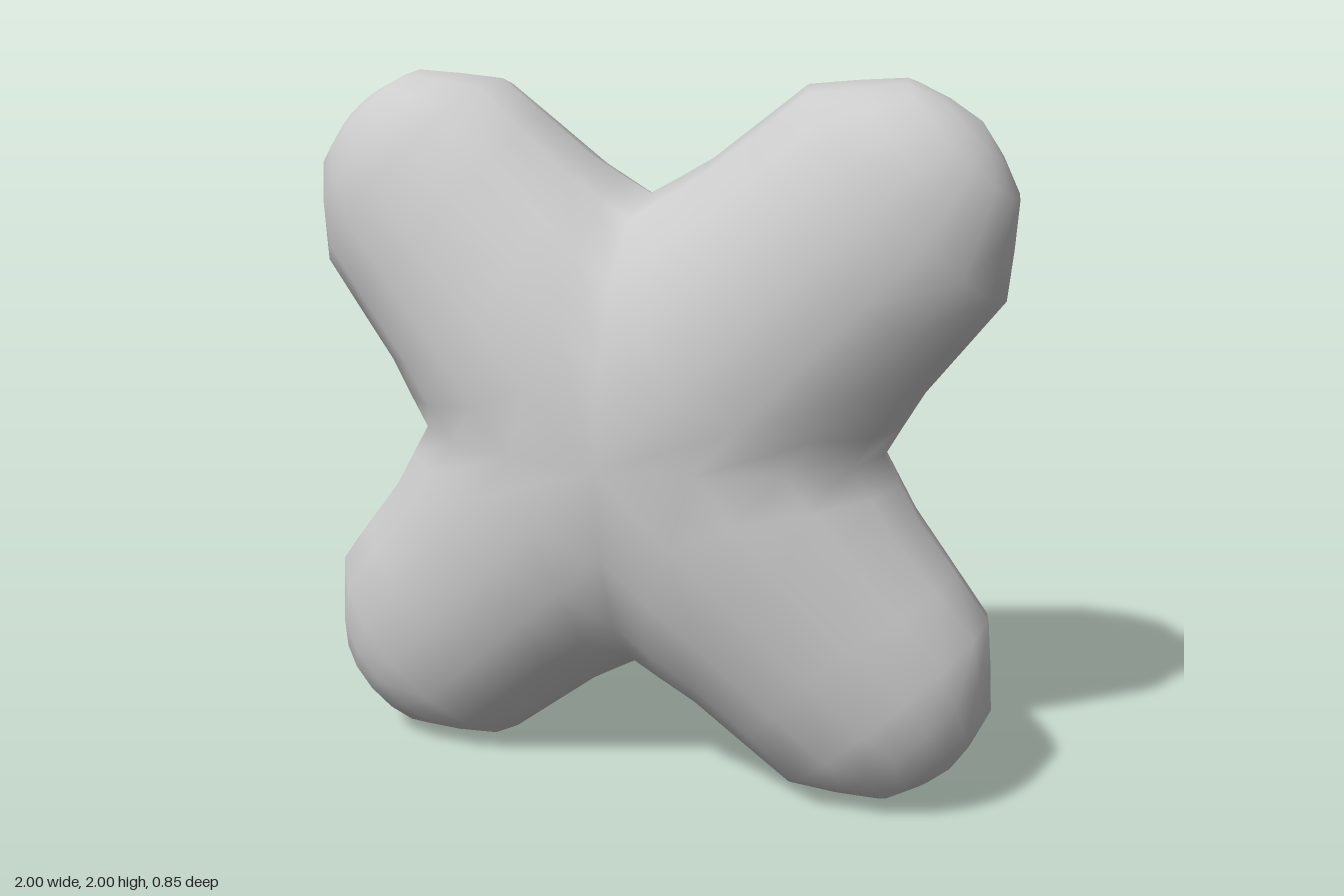
import * as THREE from 'three';
import { mergeVertices } from 'three/addons/utils/BufferGeometryUtils.js';

// Cross-sections of one arm, from the shared centre seam to the rounded tip:
// [distance at the sides, distance at the ridge, half width, half thickness]
const RINGS = [
  [0.48, 0, 0.48, 0.425],
  [0.57, 0.28, 0.454, 0.412],
  [0.68, 0.5, 0.424, 0.38],
  [0.85, 0.79, 0.402, 0.33],
  [1.004, 1.0, 0.382, 0.285],
  [1.11, 1.11, 0.294, 0.24],
  [1.202, 1.2, 0.212, 0.17],
  [1.24, 1.24, 0.11, 0.09],
  [1.266, 1.266, 0, 0],
];
const SIDES = 16;

// Point on an arm that leaves the centre at the given angle
function armPoint(angle, i, j) {
  const [side, ridge, width, thick] = RINGS[i];
  const t = (j / SIDES) * Math.PI * 2;
  const blend = Math.pow(Math.abs(Math.cos(t)), Math.min(2, 1 + i * 0.4));
  const u = ridge + (side - ridge) * blend;
  const v = width * Math.cos(t);
  return [
    u * Math.cos(angle) - v * Math.sin(angle),
    u * Math.sin(angle) + v * Math.cos(angle),
    thick * Math.sin(t),
  ];
}

export function createModel() {
  const group = new THREE.Group();
  group.name = 'softCross';

  // Four equal arms, welded so the shading runs smoothly across the seams
  const positions = [];
  const last = RINGS.length - 2;
  for (let k = 0; k < 4; k++) {
    const angle = Math.PI / 4 + (k * Math.PI) / 2;
    for (let i = 0; i <= last; i++) {
      for (let j = 0; j < SIDES; j++) {
        const a = armPoint(angle, i, j);
        const b = armPoint(angle, i + 1, j);
        const c = armPoint(angle, i + 1, j + 1);
        const d = armPoint(angle, i, j + 1);
        positions.push(...a, ...d, ...c);
        if (i < last) positions.push(...a, ...c, ...b);
      }
    }
  }
  let geometry = new THREE.BufferGeometry();
  geometry.setAttribute('position', new THREE.Float32BufferAttribute(positions, 3));
  geometry = mergeVertices(geometry, 1e-4);
  geometry.computeVertexNormals();

  const body = new THREE.Mesh(geometry, new THREE.MeshStandardMaterial({ color: 0xcccccc }));
  body.name = 'crossBody';
  body.position.y = 1;
  group.add(body);
  return group;
}
